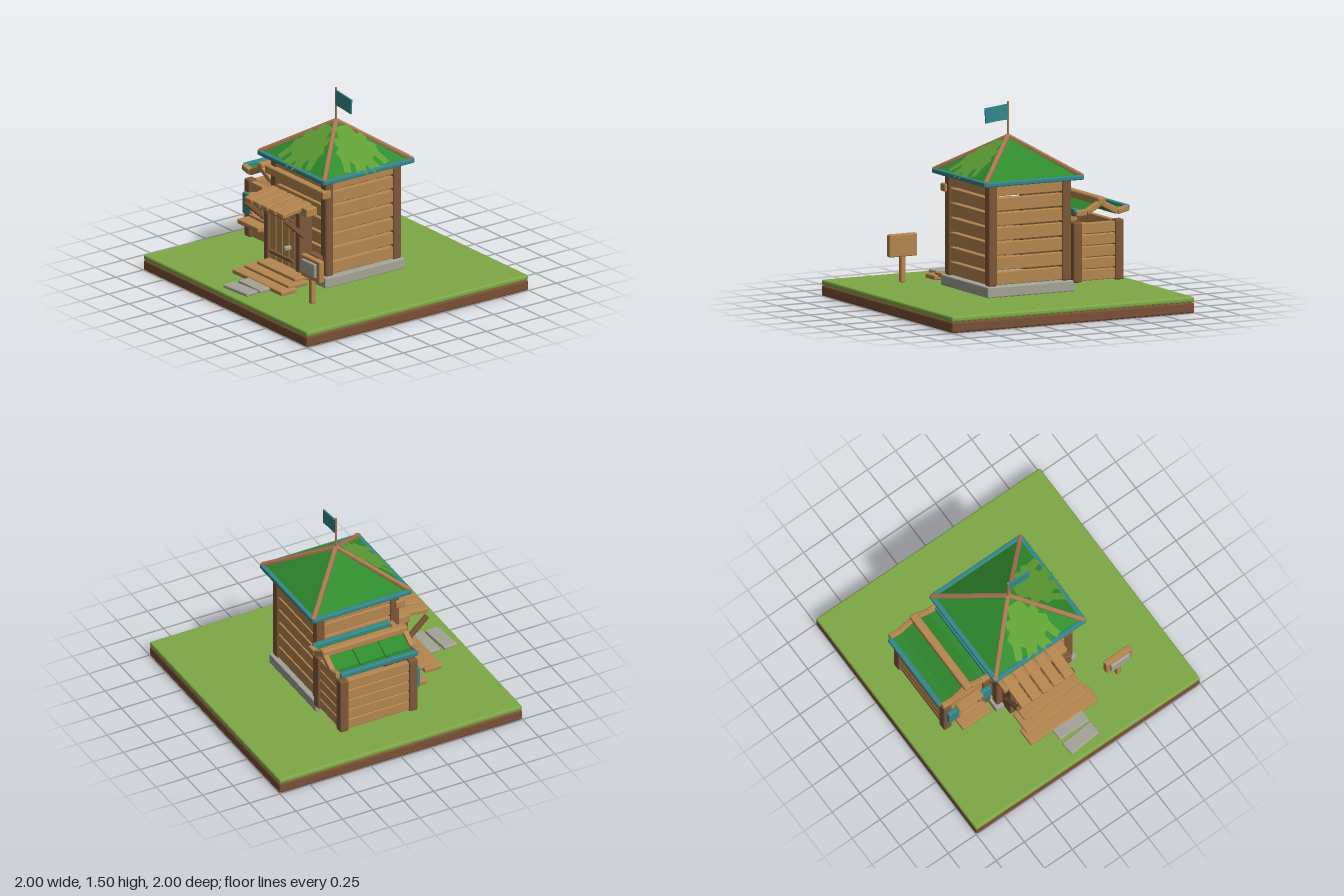
import * as THREE from 'three';
import { RoundedBoxGeometry } from 'three/addons/geometries/RoundedBoxGeometry.js';

const mat = (name, color, extra = {}) => {
  const m = new THREE.MeshStandardMaterial({ color, flatShading: true, ...extra });
  m.name = name;
  return m;
};

export function createModel() {
  const grass = mat('grass', 0x7fa846), earth = mat('earth', 0x7a4f34);
  const wood = mat('light wood', 0xb5864f), darkWood = mat('dark wood', 0x7d5839);
  const pole = mat('reddish wood', 0xa87850), teal = mat('teal paint', 0x34888a);
  const roofGreen = mat('roof green', 0x2f8a2d, { side: THREE.DoubleSide });
  const leafGreen = mat('leaf green', 0x5f9f35, { side: THREE.DoubleSide });
  const stone = mat('stone', 0xa3a396);

  const model = new THREE.Group();
  model.name = 'gardenHut';
  const group = (name) => {
    const g = new THREE.Group();
    g.name = name;
    model.add(g);
    return g;
  };
  const add = (parent, name, geo, material) => {
    const m = new THREE.Mesh(geo, material);
    m.name = name;
    parent.add(m);
    return m;
  };
  // Chamfered box given by its extents
  const box = (parent, name, material, x0, x1, y0, y1, z0, z1, bevel = 0.008) => {
    const s = [x1 - x0, y1 - y0, z1 - z0];
    const r = Math.min(bevel, Math.min(...s) * 0.3);
    const m = add(parent, name, new RoundedBoxGeometry(...s, 1, r), material);
    m.position.set((x0 + x1) / 2, (y0 + y1) / 2, (z0 + z1) / 2);
    return m;
  };
  // Beam running between two points
  const beam = (parent, name, material, a, b, w, h) => {
    const p = new THREE.Vector3(...a), q = new THREE.Vector3(...b);
    const m = add(parent, name, new RoundedBoxGeometry(w, h, p.distanceTo(q), 1, Math.min(w, h) * 0.2), material);
    m.position.copy(p).lerp(q, 0.5);
    m.lookAt(q);
    return m;
  };
  // Wall of horizontal planks
  const planks = (parent, n, x0, x1, y0, y1, z0, z1, gap) => {
    const pitch = (y1 - y0) / n;
    for (let i = 0; i < n; i++)
      box(parent, 'wallPlank', wood, x0, x1, y0 + i * pitch + gap / 2, y0 + (i + 1) * pitch - gap / 2, z0, z1, 0.005);
  };

  // Ground
  const ground = group('ground');
  box(ground, 'earthSlab', earth, -1, 1, 0, 0.08, -1, 1, 0.012);
  box(ground, 'grassTop', grass, -1, 1, 0.08, 0.12, -1, 1, 0.012);

  // Tower: plinth, corner posts and plank walls
  const tower = group('tower');
  box(tower, 'plinth', stone, -0.36, 0.36, 0.12, 0.2, -0.36, 0.36);
  for (const s of [-1, 1]) {
    for (const t of [-1, 1])
      box(tower, 'cornerPost', darkWood, s * 0.305 - 0.035, s * 0.305 + 0.035, 0.2, 0.96, t * 0.305 - 0.035, t * 0.305 + 0.035, 0.012);
    planks(tower, 7, -0.28, 0.28, 0.2, 0.96, s * 0.31 - 0.018, s * 0.31 + 0.018, 0.014);
    planks(tower, 7, s * 0.31 - 0.018, s * 0.31 + 0.018, 0.2, 0.96, -0.28, 0.28, 0.014);
  }
  box(tower, 'headerBeam', wood, -0.36, 0.355, 0.81, 0.87, 0.305, 0.378);
  for (const y of [0.205, 0.285]) box(tower, 'wallPatch', darkWood, 0.17, 0.3, y, y + 0.068, 0.325, 0.38);

  // Main roof with eaves, hip poles and leaves
  const roof = group('mainRoof');
  const pyramid = new THREE.ConeGeometry(0.4 * Math.SQRT2, 0.28, 4);
  pyramid.rotateY(Math.PI / 4);
  pyramid.translate(0, 1.1, 0);
  add(roof, 'roofSlopes', pyramid, roofGreen);
  for (const s of [-1, 1]) {
    box(roof, 'eave', teal, -0.405, 0.405, 0.943, 0.978, s * 0.395 - 0.018, s * 0.395 + 0.018);
    box(roof, 'eave', teal, s * 0.395 - 0.018, s * 0.395 + 0.018, 0.943, 0.978, -0.405, 0.405);
    for (const t of [-1, 1])
      beam(roof, 'hipPole', pole, [s * 0.4, 0.97, t * 0.4], [0, 1.24, 0], 0.032, 0.03);
  }
  const half = [[0.055, 1.215], [0.08, 1.16], [0.12, 1.17], [0.14, 1.13], [0.125, 1.12], [0.175, 1.095],
    [0.165, 1.06], [0.2, 0.995], [0.15, 0.985], [0.11, 1.04], [0.085, 1.02], [0.11, 0.975],
    [0.055, 0.985], [0.035, 0.955]];
  const outline = [...half, [0, 1.01], ...half.slice().reverse().map(([x, y]) => [-x, y])];
  const leafGeo = new THREE.ShapeGeometry(new THREE.Shape(outline.map((p) => new THREE.Vector2(...p))));
  const lp = leafGeo.attributes.position;
  for (let i = 0; i < lp.count; i++) lp.setZ(i, (1.26 - lp.getY(i)) / 0.7);
  leafGeo.computeVertexNormals();
  for (const turn of [0, Math.PI / 2]) add(roof, 'roofLeaf', leafGeo, leafGreen).rotation.y = turn;

  // Flag
  const flag = group('flag');
  add(flag, 'flagPole', new THREE.CylinderGeometry(0.008, 0.008, 0.29, 8), pole).position.set(0, 1.35, 0);
  const cloth = new THREE.Shape([[0.005, 1.36], [0.09, 1.355], [0.185, 1.343], [0.192, 1.455], [0.1, 1.465], [0.005, 1.475]]
    .map((p) => new THREE.Vector2(...p)));
  add(flag, 'flagCloth', new THREE.ExtrudeGeometry(cloth, { depth: 0.012, bevelEnabled: false }), teal).position.z = -0.006;

  // Side annex walls
  const annex = group('annex');
  for (const x of [-0.725, -0.38])
    for (const z of [-0.335, 0.235])
      box(annex, 'annexPost', darkWood, x - 0.035, x + 0.035, 0.18, 0.625, z - 0.035, z + 0.035, 0.012);
  for (const z of [-0.335, 0.235]) planks(annex, 5, -0.7, -0.4, 0.185, 0.615, z - 0.02, z + 0.02, 0.008);
  planks(annex, 5, -0.745, -0.705, 0.185, 0.615, -0.31, 0.21, 0.008);

  // Shuttered window
  const win = group('annexWindow');
  for (let i = 0; i < 3; i++) box(win, 'windowBoard', wood, -0.625 + i * 0.05, -0.577 + i * 0.05, 0.37, 0.53, 0.25, 0.275, 0.004);
  for (const x of [-0.64, -0.46]) box(win, 'windowJamb', wood, x - 0.015, x + 0.015, 0.36, 0.53, 0.25, 0.3);
  box(win, 'windowLintel', wood, -0.655, -0.445, 0.52, 0.55, 0.25, 0.32);
  box(win, 'windowRail', wood, -0.65, -0.45, 0.365, 0.39, 0.25, 0.31);
  box(win, 'windowSill', wood, -0.68, -0.425, 0.322, 0.36, 0.25, 0.39);
  for (const x of [-0.695, -0.405]) box(win, 'shutter', teal, x - 0.045, x + 0.045, 0.365, 0.53, 0.265, 0.3);

  // Sagging annex roof
  const annexRoof = group('annexRoof');
  const sag = [[-0.775, 0.71], [-0.685, 0.69], [-0.55, 0.765], [-0.43, 0.7], [-0.345, 0.695]];
  const sheet = new THREE.Shape([...sag, ...sag.slice().reverse().map(([x, y]) => [x, y - 0.022])]
    .map((p) => new THREE.Vector2(...p)));
  const sheetGeo = new THREE.ExtrudeGeometry(sheet, { depth: 0.205, bevelEnabled: false });
  for (let i = 0; i < 3; i++) add(annexRoof, 'roofStrip', sheetGeo, roofGreen).position.set(0, 0, -0.382 + i * 0.21);
  for (const z of [-0.395, 0.26])
    for (let i = 0; i < 4; i++)
      beam(annexRoof, 'bargeBoard', wood, [...sag[i], z], [...sag[i + 1], z], 0.042, 0.045);
  box(annexRoof, 'ridgeLog', wood, -0.583, -0.52, 0.745, 0.805, -0.418, 0.283, 0.012);
  for (const x of [-0.78, -0.36]) box(annexRoof, 'annexEave', teal, x - 0.02, x + 0.02, 0.688, 0.728, -0.385, 0.25);

  // Door
  const door = group('door');
  for (const x of [-0.265, 0.125]) box(door, 'doorPost', darkWood, x - 0.027, x + 0.027, 0.16, 0.655, 0.325, 0.44);
  box(door, 'doorLintel', darkWood, -0.29, 0.15, 0.62, 0.66, 0.325, 0.43);
  for (let i = 0; i < 4; i++)
    box(door, 'doorBoard', wood, -0.232 + i * 0.079, -0.16 + i * 0.079, 0.17, 0.625, 0.34, 0.425, 0.006);
  for (const y of [0.26, 0.565]) box(door, 'doorStrap', darkWood, -0.225, 0.065, y - 0.014, y + 0.014, 0.42, 0.445);
  box(door, 'doorHandle', stone, 0.005, 0.035, 0.34, 0.372, 0.425, 0.48);

  // Porch awning on diagonal struts
  const awning = group('awning');
  for (let i = 0; i < 5; i++) {
    const x = -0.265 + i * 0.0965;
    beam(awning, 'awningBoard', wood, [x, 0.705, 0.34], [x, 0.67, 0.6], 0.085, 0.04);
  }
  for (const x of [-0.32, 0.165])
    beam(awning, 'awningStrut', darkWood, [x, 0.48, 0.41], [x, 0.64, 0.58], 0.035, 0.035);
  box(awning, 'awningRail', wood, -0.34, 0.225, 0.645, 0.71, 0.335, 0.43);

  // Steps and paving
  const path = group('stepsAndPath');
  box(path, 'topStep', wood, -0.24, 0.23, 0.165, 0.2, 0.36, 0.54);
  box(path, 'middleStep', wood, -0.28, 0.268, 0.142, 0.176, 0.45, 0.625);
  box(path, 'bottomStep', wood, -0.305, 0.298, 0.12, 0.155, 0.57, 0.712);
  box(path, 'pavingStone', stone, -0.11, 0.155, 0.12, 0.147, 0.7, 0.802);
  box(path, 'pavingStone', stone, -0.11, 0.155, 0.12, 0.147, 0.822, 0.932).rotation.y = 0.08;

  // Notice board
  const sign = group('noticeBoard');
  box(sign, 'signPost', wood, 0.52, 0.56, 0.12, 0.33, 0.594, 0.632);
  box(sign, 'signBoard', wood, 0.427, 0.657, 0.31, 0.477, 0.59, 0.635);
  box(sign, 'signPanel', stone, 0.457, 0.623, 0.345, 0.452, 0.63, 0.656);

  return model;
}
